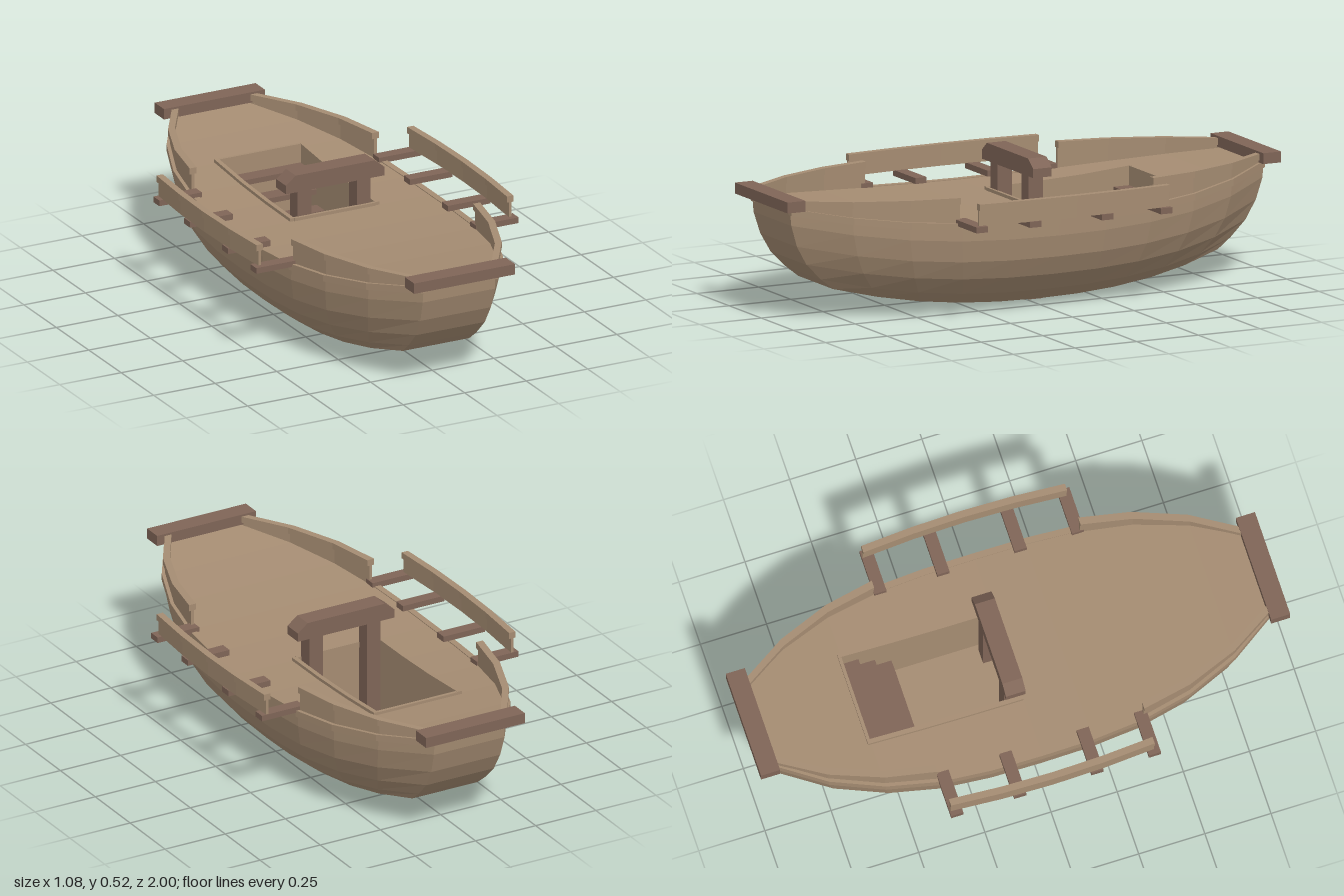
import * as THREE from 'three';

const planks = new THREE.MeshStandardMaterial({ color: 0xa58c72, flatShading: true, side: THREE.DoubleSide });
const timber = new THREE.MeshStandardMaterial({ color: 0x7f6557, flatShading: true });

// Hull rows from sheer to bottom: [half width amidships, y amidships, y at end, half length, half width at end]
const ROWS = [
  [0.395, 0.345, 0.42, 0.96, 0.145],
  [0.395, 0.28, 0.36, 0.955, 0.147],
  [0.38, 0.20, 0.28, 0.93, 0.143],
  [0.345, 0.13, 0.21, 0.89, 0.14],
  [0.29, 0.065, 0.15, 0.83, 0.138],
  [0.23, 0.02, 0.11, 0.78, 0.135],
];
const STATIONS = Array.from({ length: 11 }, (_, i) => (i - 5) / 5);

function rowPoint([w, y0, y1, len, end], s) {
  const a = Math.abs(s);
  return [end + (w - end) * (1 - a ** 3), y0 + (y1 - y0) * a ** 2.2, s * len];
}
const sheer = (z) => rowPoint(ROWS[0], z / ROWS[0][3]);

function quadMesh(name, quads, material) {
  const pos = [];
  for (const [a, b, c, d] of quads) pos.push(...a, ...b, ...c, ...a, ...c, ...d);
  const geo = new THREE.BufferGeometry();
  geo.setAttribute('position', new THREE.Float32BufferAttribute(pos, 3));
  geo.computeVertexNormals();
  const mesh = new THREE.Mesh(geo, material);
  mesh.name = name;
  return mesh;
}

// Skin between successive cross-sections
function skin(sections, closed) {
  const quads = [];
  const n = sections[0].length;
  for (let i = 0; i < sections.length - 1; i++) {
    for (let j = 0; j < (closed ? n : n - 1); j++) {
      const k = (j + 1) % n;
      quads.push([sections[i][j], sections[i + 1][j], sections[i + 1][k], sections[i][k]]);
    }
  }
  return quads;
}

// Rectangular strip along z; rect(z) gives [xInner, xOuter, yLow, yHigh]
function strip(name, zs, side, rect, material) {
  const sections = zs.map((z) => {
    const [a, b, y0, y1] = rect(z);
    const x0 = Math.min(side * a, side * b), x1 = Math.max(side * a, side * b);
    return [[x1, y1, z], [x1, y0, z], [x0, y0, z], [x0, y1, z]];
  });
  const quads = skin(sections, true);
  quads.push(sections[0], [...sections[sections.length - 1]].reverse());
  return quadMesh(name, quads, material);
}

function box(name, x0, x1, y0, y1, z0, z1, material = timber) {
  const mesh = new THREE.Mesh(new THREE.BoxGeometry(x1 - x0, y1 - y0, z1 - z0), material);
  mesh.position.set((x0 + x1) / 2, (y0 + y1) / 2, (z0 + z1) / 2);
  mesh.name = name;
  return mesh;
}

function makeHull() {
  const sections = STATIONS.map((s) => {
    const left = ROWS.map((r) => rowPoint(r, s));
    return [...left, ...[...left].reverse().map(([x, y, z]) => [-x, y, z])];
  });
  const quads = skin(sections, false);
  // Flat bow and stern panels
  const last = ROWS.length * 2 - 1;
  const stern = sections[0], bow = sections[sections.length - 1];
  for (let k = 0; k < ROWS.length - 1; k++) {
    quads.push([bow[k], bow[last - k], bow[last - k - 1], bow[k + 1]]);
    quads.push([stern[last - k], stern[k], stern[k + 1], stern[last - k - 1]]);
  }
  return quadMesh('hull', quads, planks);
}

// Deck in three columns, leaving out the middle one over the hatch
function makeDeck() {
  const quads = [];
  for (let i = 0; i < STATIONS.length - 1; i++) {
    const [A, B] = [STATIONS[i], STATIONS[i + 1]].map((s) => {
      const [x, y, z] = rowPoint(ROWS[0], s);
      const inner = Math.min(0.165, x);
      return [-x, -inner, inner, x].map((px) => [px, y, z]);
    });
    const overHatch = i >= 2 && i < 5;
    for (let j = 0; j < 3; j++) {
      if (j === 1 && overHatch) continue;
      quads.push([A[j], B[j], B[j + 1], A[j + 1]]);
    }
  }
  return quadMesh('deck', quads, planks);
}

function makeHatch() {
  const g = new THREE.Group();
  g.name = 'hatch';
  const zBack = -0.576, floorY = 0.07;
  const zs = [zBack - 0.012, -0.384, -0.192, 0];
  for (const side of [-1, 1]) {
    // Coaming and well side
    g.add(strip('hatchCoaming', zs, side, (z) => {
      const y = sheer(z)[1];
      return [0.165, 0.182, y - 0.01, y + 0.012];
    }, planks));
    g.add(strip('wellSide', zs, side, (z) => [0.165, 0.17, floorY, sheer(z)[1]], planks));
  }
  const yBack = sheer(zBack)[1];
  g.add(box('hatchCoaming', -0.165, 0.165, yBack - 0.01, yBack + 0.012, zBack - 0.012, zBack, planks));
  g.add(box('hatchCoaming', -0.165, 0.165, 0.335, 0.357, -0.008, 0.004, planks));
  g.add(box('wellBack', -0.165, 0.165, floorY, yBack, zBack - 0.005, zBack, planks));
  g.add(box('wellFront', -0.165, 0.165, floorY, 0.345, -0.004, 0, planks));
  g.add(box('wellFloor', -0.165, 0.165, floorY - 0.006, floorY, zBack, 0, planks));
  // Stairs going down towards the bow
  for (let i = 0; i < 4; i++) {
    const z = -0.575 + i * 0.0625, y = 0.31 - i * 0.06;
    g.add(box('stair', -0.163, 0.163, y - 0.02, y, z, Math.min(z + 0.0625, -0.38)));
  }
  return g;
}

// Two posts standing through the hull, with a chamfered crossbeam
function makeBitts() {
  const g = new THREE.Group();
  g.name = 'mooringBitts';
  for (const x of [-0.12, 0.12]) {
    g.add(box('bittPost', x - 0.028, x + 0.028, 0, 0.46, -0.064, -0.006));
  }
  const shape = new THREE.Shape([
    [-0.2, 0.455], [0.2, 0.455], [0.2, 0.488], [0.16, 0.52], [-0.16, 0.52], [-0.2, 0.488],
  ].map(([x, y]) => new THREE.Vector2(x, y)));
  const beam = new THREE.Mesh(new THREE.ExtrudeGeometry(shape, { depth: 0.075, bevelEnabled: false }), timber);
  beam.position.z = -0.073;
  beam.name = 'bittCrossbeam';
  g.add(beam);
  return g;
}

function makeSide(side) {
  const g = new THREE.Group();
  g.name = side > 0 ? 'leftSide' : 'rightSide';
  // Rubbing strake along the sheer
  g.add(strip('rubbingStrake', STATIONS.map((s) => s * 0.96), side, (z) => {
    const [x, y] = sheer(z);
    return [x - 0.012, x + 0.012, y - 0.022, y + 0.003];
  }, planks));
  // Bulwark and its cap, fore and aft
  for (const end of [-1, 1]) {
    const zs = [0.39, 0.576, 0.768, 0.94].map((z) => z * end).sort((a, b) => a - b);
    g.add(strip('bulwark', zs, side, (z) => {
      const [x, y] = sheer(z);
      return [x - 0.014, x - 0.002, y - 0.01, 0.432];
    }, planks));
    g.add(strip('bulwarkCap', zs, side, (z) => {
      const x = sheer(z)[0];
      return [x - 0.022, x + 0.006, 0.428, 0.452];
    }, planks));
  }
  // Outrigger beams carrying a gently bowed outer rail
  for (const z of [0.382, 0.165, -0.127, -0.365]) {
    const xs = [side * 0.36, side * 0.533].sort((a, b) => a - b);
    g.add(box('outriggerBeam', xs[0], xs[1], 0.35, 0.372, z - 0.023, z + 0.023));
  }
  const railZ = [-0.385, -0.192, 0, 0.192, 0.385];
  const railX = (z) => 0.526 - 0.017 * (z / 0.385) ** 2;
  g.add(strip('outerRailBoard', railZ, side, (z) => [railX(z) - 0.005, railX(z) + 0.005, 0.371, 0.432], planks));
  g.add(strip('outerRailCap', railZ, side, (z) => [railX(z) - 0.013, railX(z) + 0.013, 0.428, 0.452], planks));
  return g;
}

export function createModel() {
  const boat = new THREE.Group();
  boat.name = 'woodenBoat';
  boat.add(makeHull(), makeDeck(), makeHatch(), makeBitts(), makeSide(1), makeSide(-1));
  // Heavy timbers across bow and stern
  boat.add(box('bowTimber', -0.205, 0.205, 0.42, 0.46, 0.928, 1));
  boat.add(box('sternTimber', -0.205, 0.205, 0.42, 0.46, -1, -0.928));
  return boat;
}
